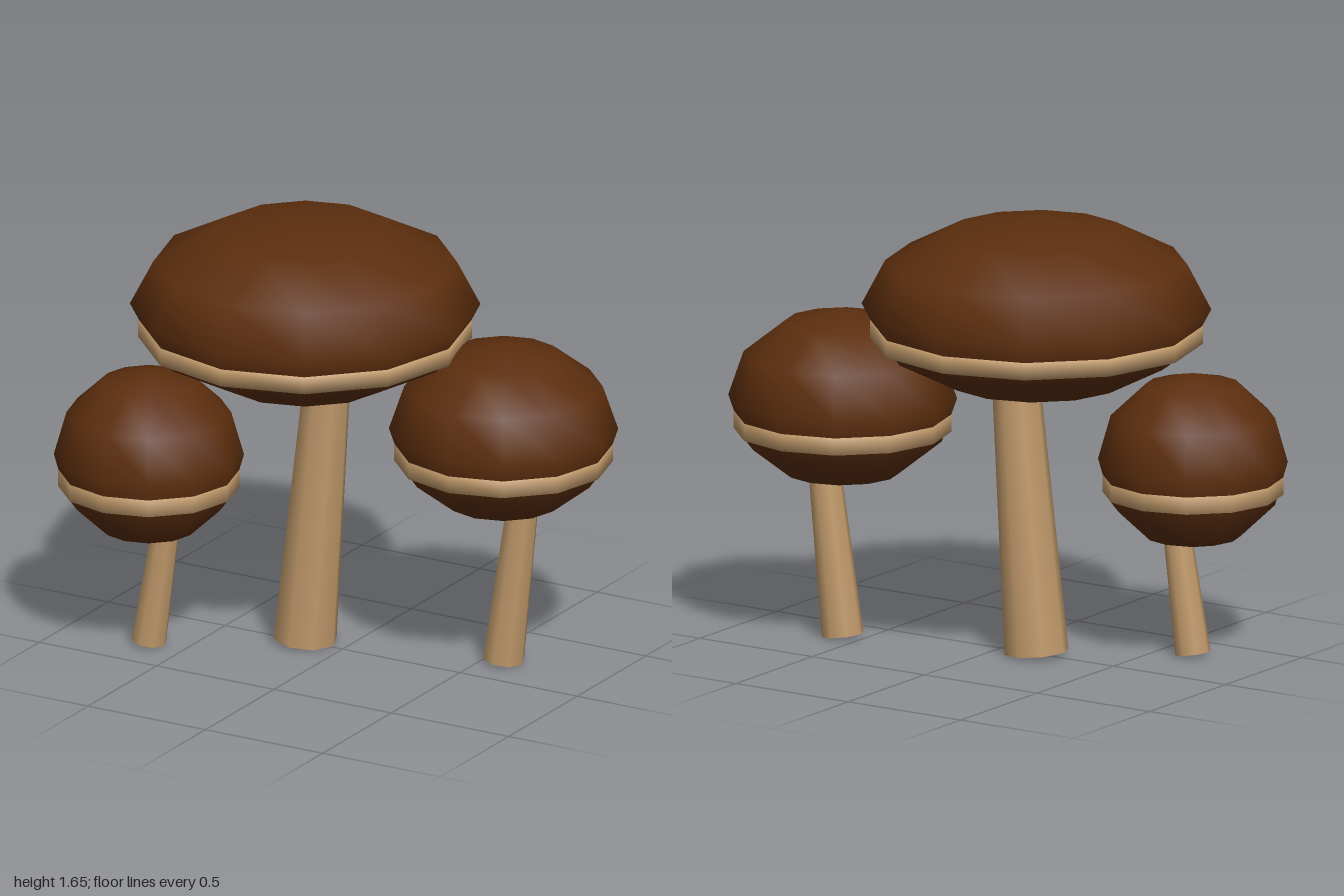
import * as THREE from 'three';

const capBrown = new THREE.MeshStandardMaterial({ color: 0x5c2e0e });
capBrown.name = 'cap brown';
const stemTan = new THREE.MeshStandardMaterial({ color: 0xc19a6b });
stemTan.name = 'stem tan';

const CAP_HALF_HEIGHT = 0.33;
const BAND_HEIGHT = 0.065;

function addMesh(group, name, geometry, material) {
  const mesh = new THREE.Mesh(geometry, material);
  mesh.name = name;
  group.add(mesh);
  return mesh;
}

// One mushroom: leaning tapered stem, flattened round cap, pale band under the widest line
function mushroom({ name, x, z, capY, capRadius, bandY, baseRadius, topRadius, stemLength, lean }) {
  const group = new THREE.Group();
  group.name = name;
  group.position.set(x, 0, z);

  // Stem pivots at its base, raised so the tilted foot rests on the ground
  const stemGeometry = new THREE.CylinderGeometry(topRadius, baseRadius, stemLength, 8);
  stemGeometry.translate(0, stemLength / 2, 0);
  const stem = addMesh(group, 'stem', stemGeometry, stemTan);
  stem.rotation.z = -lean;
  stem.position.y = baseRadius * Math.sin(lean);

  // Cap
  const capGeometry = new THREE.SphereGeometry(capRadius, 12, 6);
  capGeometry.scale(1, CAP_HALF_HEIGHT / capRadius, 1);
  addMesh(group, 'cap', capGeometry, capBrown).position.y = capY;

  // Band with a softly rounded outer face
  const outer = capRadius * 0.953;
  const inner = capRadius * 0.86;
  const h = BAND_HEIGHT / 2;
  const profile = [[inner, -h], [outer, -h], [outer, h], [inner, h]]
    .map(([r, y]) => new THREE.Vector2(r, y));
  addMesh(group, 'band', new THREE.LatheGeometry(profile, 12), stemTan).position.y = bandY;

  return group;
}

export function createModel() {
  const model = new THREE.Group();
  model.name = 'mushroomCluster';
  model.add(
    mushroom({
      name: 'largeMushroom', x: -0.165, z: -0.01, capY: 1.32, capRadius: 0.645, bandY: 1.222,
      baseRadius: 0.12, topRadius: 0.087, stemLength: 1.12, lean: 0.09,
    }),
    mushroom({
      name: 'mediumMushroom', x: 0.577, z: -0.187, capY: 0.912, capRadius: 0.422, bandY: 0.818,
      baseRadius: 0.078, topRadius: 0.058, stemLength: 0.72, lean: 0.13,
    }),
    mushroom({
      name: 'smallMushroom', x: -0.648, z: 0.303, capY: 0.74, capRadius: 0.35, bandY: 0.647,
      baseRadius: 0.066, topRadius: 0.05, stemLength: 0.54, lean: 0.155,
    }),
  );
  return model;
}
